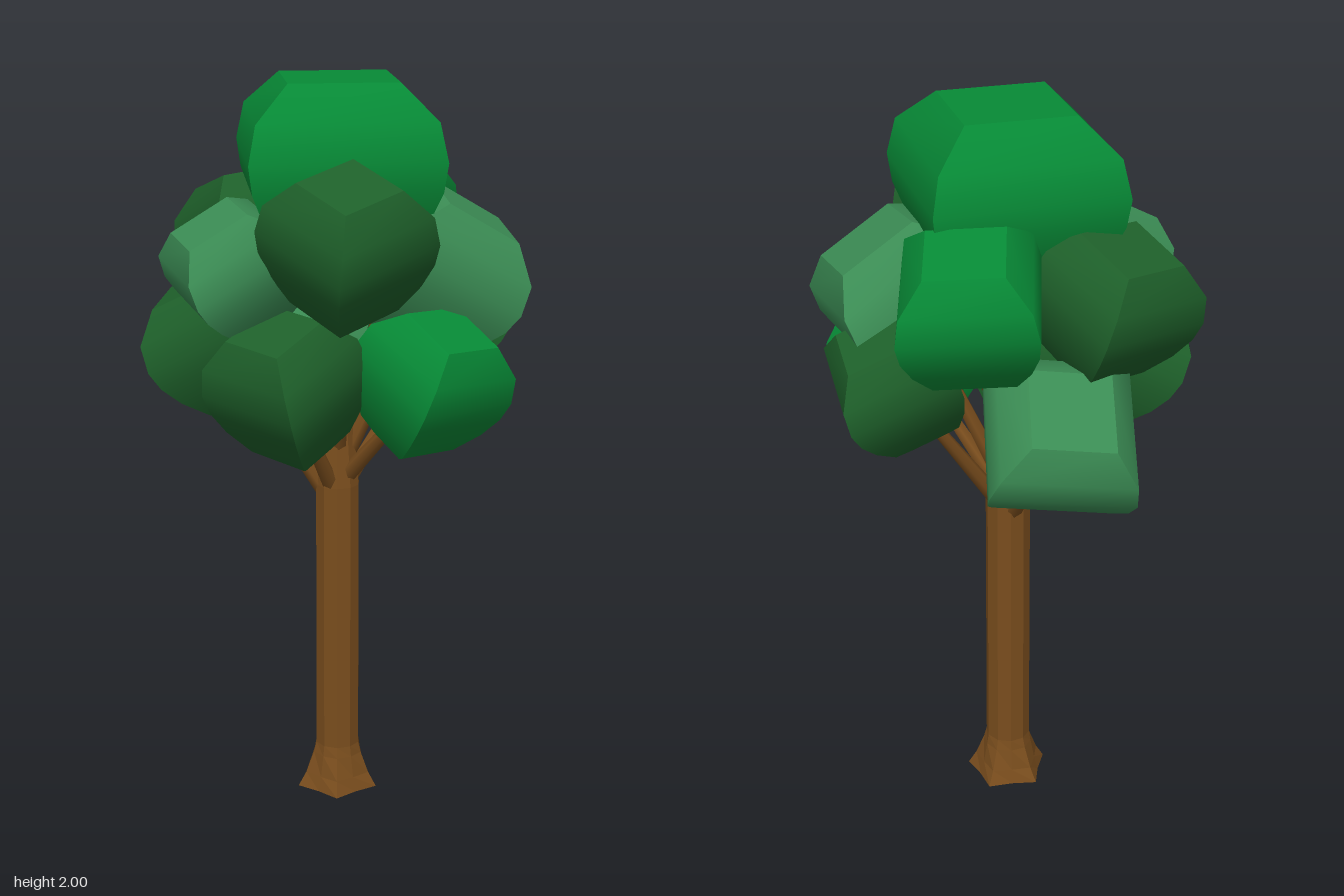
import * as THREE from 'three';

const mat = (name, color) => Object.assign(new THREE.MeshStandardMaterial({ color }), { name });
const UP = new THREE.Vector3(0, 1, 0);

// Rounded square clump: four smooth strips with sharp corners, closed by flat caps.
const PROFILE = [[0.36, -1.1], [0.6, -0.89], [0.83, -0.48], [0.96, -0.12], [1, 0.2], [0.92, 0.62], [0.57, 1]];
function clumpGeometry() {
  const pos = [], idx = [];
  const corner = (k, [r, y]) => {
    const a = Math.PI / 4 + k * Math.PI / 2;
    return [Math.SQRT2 * r * Math.sin(a), y, Math.SQRT2 * r * Math.cos(a)];
  };
  for (let k = 0; k < 4; k++) {
    const base = pos.length / 3;
    PROFILE.forEach((p, i) => {
      pos.push(...corner(k, p), ...corner(k + 1, p));
      if (!i) return;
      const a = base + 2 * (i - 1);
      idx.push(a, a + 1, a + 3, a, a + 3, a + 2);
    });
  }
  for (const [p, top] of [[PROFILE[PROFILE.length - 1], true], [PROFILE[0], false]]) {
    const b = pos.length / 3;
    for (let k = 0; k < 4; k++) pos.push(...corner(k, p));
    idx.push(...(top ? [b, b + 1, b + 2, b, b + 2, b + 3] : [b, b + 2, b + 1, b, b + 3, b + 2]));
  }
  const g = new THREE.BufferGeometry();
  g.setAttribute('position', new THREE.Float32BufferAttribute(pos, 3));
  g.setIndex(idx);
  g.computeVertexNormals();
  return g;
}

// Trunk: ten-sided column, open below, whose foot spreads into uneven roots.
function trunkGeometry() {
  const pts = [[0.102, 0], [0.085, 0.04], [0.068, 0.1], [0.062, 0.13], [0.061, 0.9], [0.05, 1.02], [0.035, 1.18], [0.02, 1.4], [0.012, 1.6]]
    .map(([r, y]) => new THREE.Vector2(r, y));
  const g = new THREE.LatheGeometry(pts, 10);
  const p = g.attributes.position;
  for (let i = 0; i < p.count; i++) {
    const x = p.getX(i), y = p.getY(i), z = p.getZ(i);
    const foot = Math.max(0, 1 - y / 0.12);
    const s = 1 + foot * 0.16 * Math.cos(5 * Math.atan2(x, z) + 0.6);
    p.setXYZ(i, x * s, y, z * s);
  }
  const flat = g.toNonIndexed();
  flat.computeVertexNormals();
  return flat;
}

export function createModel() {
  const tree = new THREE.Group();
  tree.name = 'tree';
  const bark = mat('bark brown', 0x794d1d);
  const leaf = {
    mid: mat('bright green', 0x078a36),
    dark: mat('dark green', 0x1e602a),
    light: mat('pale green', 0x3b8c54),
  };

  const trunk = new THREE.Mesh(trunkGeometry(), bark);
  trunk.name = 'trunk';
  trunk.position.set(0.008, 0, -0.027);
  tree.add(trunk);

  // Clumps: colour, centre, half width, half height, outward lean and turn in degrees
  const clumps = [
    ['crown', 'mid', [0.01, 1.765, -0.01], 0.25, 0.235, 0, 7],
    ['upperFrontClump', 'dark', [0.035, 1.61, 0.307], 0.162, 0.185, 22, 42],
    ['lowerFrontLeftClump', 'mid', [0.245, 1.24, 0.205], 0.152, 0.175, 26, 41],
    ['lowerBackClump', 'light', [-0.07, 1.22, -0.33], 0.188, 0.165, 38, -2],
    ['upperBackClump', 'mid', [0.145, 1.59, -0.335], 0.172, 0.175, 16, -10],
    ['upperBackRightClump', 'dark', [-0.22, 1.53, -0.225], 0.165, 0.18, 20, 31],
    ['upperLeftClump', 'light', [0.268, 1.5, 0.005], 0.192, 0.185, 32, 13],
    ['lowerBackLeftClump', 'dark', [0.312, 1.34, -0.188], 0.148, 0.16, 28, 3],
    ['upperRightClump', 'light', [-0.25, 1.525, 0.15], 0.15, 0.15, 30, 20],
    ['lowerRightClump', 'dark', [-0.298, 1.31, 0.01], 0.162, 0.17, 28, -12],
    ['lowerFrontClump', 'dark', [-0.115, 1.225, 0.21], 0.155, 0.185, 22, -41],
  ];
  const geometry = clumpGeometry();
  clumps.forEach(([name, color, c, r, h, lean, turn], i) => {
    const center = new THREE.Vector3(...c);
    const clump = new THREE.Mesh(geometry, leaf[color]);
    clump.name = name;
    clump.position.copy(center);
    clump.scale.set(r, h, r);
    const axis = new THREE.Vector3(c[2], 0, -c[0]).normalize();
    clump.quaternion.setFromAxisAngle(axis, THREE.MathUtils.degToRad(lean))
      .multiply(new THREE.Quaternion().setFromAxisAngle(UP, THREE.MathUtils.degToRad(turn)));
    tree.add(clump);

    // Branch from the trunk into every clump except the crown
    if (i === 0) return;
    const startY = c[1] < 1.4 ? 0.86 + 0.03 * (i % 3) : 0.98 + 0.03 * (i % 3);
    const out = new THREE.Vector3(c[0], 0, c[2]).normalize().multiplyScalar(0.025);
    const start = new THREE.Vector3(0.008, startY, -0.027).add(out);
    const length = start.distanceTo(center);
    const branch = new THREE.Mesh(new THREE.CylinderGeometry(0.012, 0.024, length, 6), bark);
    branch.name = 'branch';
    branch.position.copy(start).lerp(center, 0.5);
    branch.quaternion.setFromUnitVectors(UP, center.clone().sub(start).normalize());
    tree.add(branch);
  });
  return tree;
}
